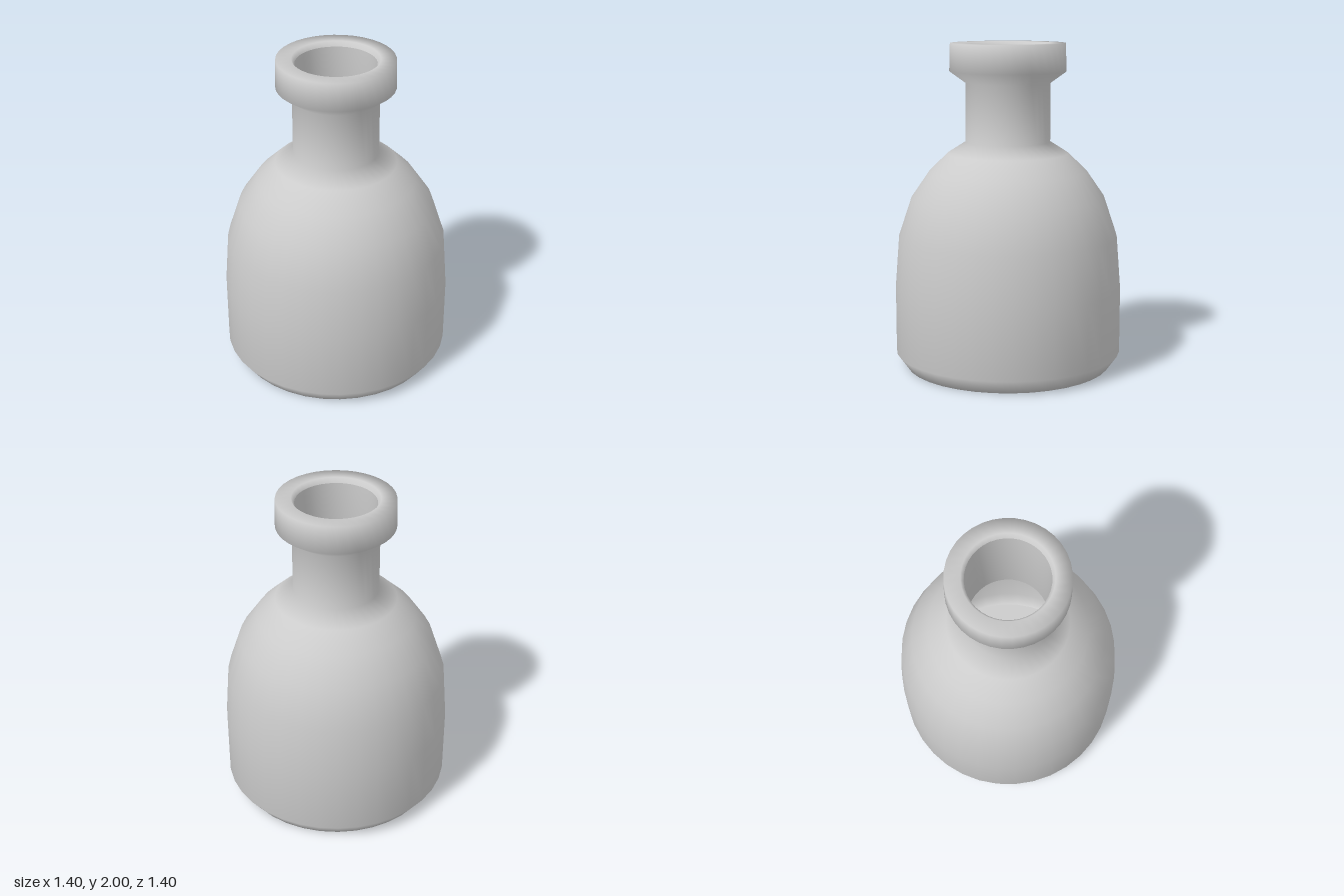
import * as THREE from 'three';

const SEGMENTS = 36;

export function createModel() {
  const model = new THREE.Group();
  model.name = 'bottle';
  const material = new THREE.MeshStandardMaterial({ color: 0xcccccc });

  // Turned surface from [radius, height] pairs, outside running upwards
  const turned = (name, profile) => {
    const points = profile.map(([r, y]) => new THREE.Vector2(r, y));
    const mesh = new THREE.Mesh(new THREE.LatheGeometry(points, SEGMENTS), material);
    mesh.name = name;
    model.add(mesh);
  };

  // Foot ring, body, shoulder, neck and lip
  turned('outerShell', [
    [0.57, 0.04], [0.635, 0], [0.7, 0.09], [0.7, 0.5], [0.675, 0.82],
    [0.595, 1.06], [0.485, 1.22], [0.37, 1.33], [0.26, 1.4],
    [0.26, 1.76], [0.357, 1.83], [0.352, 2],
    [0.26, 2], [0.242, 1.97],
  ]);

  // Hollow inside, running down from the mouth
  turned('innerWall', [
    [0.242, 1.97], [0.24, 1.39], [0.35, 1.31], [0.465, 1.2], [0.572, 1.05],
    [0.65, 0.81], [0.675, 0.5], [0.675, 0.1], [0.61, 0.06],
  ]);
  turned('innerFloor', [[0.61, 0.06], [0, 0.06]]);

  // Recessed underside
  turned('underside', [[0, 0.04], [0.57, 0.04]]);

  return model;
}
